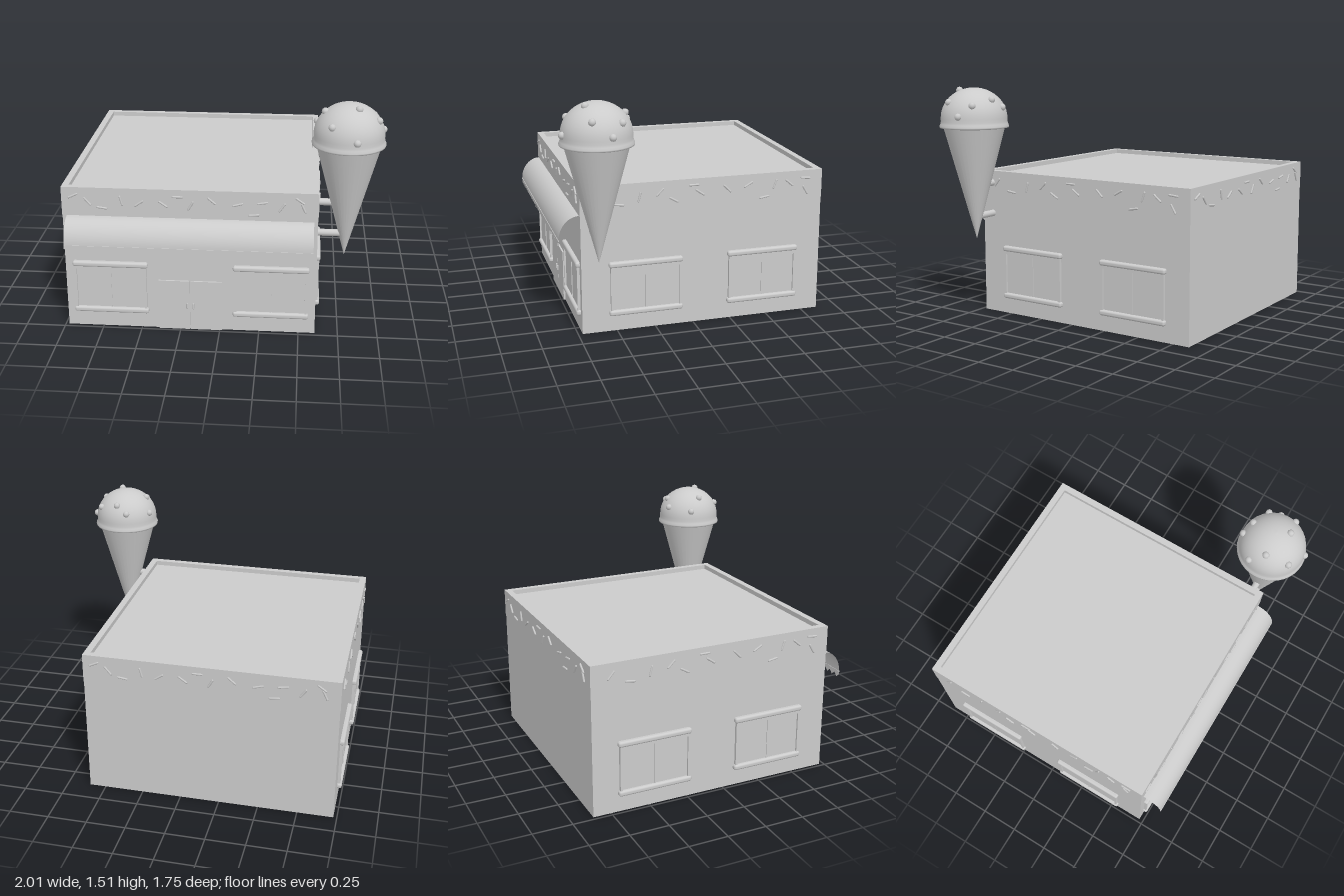
import * as THREE from 'three';
import { RoundedBoxGeometry } from 'three/addons/geometries/RoundedBoxGeometry.js';

const mat = new THREE.MeshStandardMaterial({ color: 0xcccccc });
const sheetMat = new THREE.MeshStandardMaterial({ color: 0xcccccc, side: THREE.DoubleSide });

// Outer limits of the building
const X0 = -0.98, X1 = 0.606, Z0 = -0.865, Z1 = 0.724, BAND = 0.77, ROOF = 0.925, TOP = 0.955;
const CX = (X0 + X1) / 2, CZ = (Z0 + Z1) / 2, W = X1 - X0, D = Z1 - Z0;

function add(parent, name, geometry, x = 0, y = 0, z = 0, material = mat) {
  const mesh = new THREE.Mesh(geometry, material);
  mesh.name = name;
  mesh.position.set(x, y, z);
  parent.add(mesh);
  return mesh;
}
const box = (w, h, d) => new THREE.BoxGeometry(w, h, d);

// Wall-local frame: x runs along the wall, z points outward
function wallFrame(parent, name, x, z, turn) {
  const g = new THREE.Group();
  g.name = name;
  g.position.set(x, 0, z);
  g.rotation.y = turn;
  parent.add(g);
  return g;
}

// Two-pane window with rounded sills
function addWindow(wall, x) {
  const g = new THREE.Group();
  g.name = 'window';
  g.position.x = x;
  wall.add(g);
  for (const s of [-1, 1]) {
    add(g, 'windowPane', box(0.212, 0.29, 0.006), s * 0.109, 0.28, 0.001);
    add(g, 'windowPost', box(0.014, 0.3, 0.026), s * 0.222, 0.28, 0.003);
  }
  add(g, 'windowMullion', box(0.008, 0.3, 0.014), 0, 0.28, 0.002);
  add(g, 'windowHead', box(0.458, 0.02, 0.03), 0, 0.417, 0.003);
  add(g, 'upperSill', new RoundedBoxGeometry(0.478, 0.036, 0.046, 3, 0.014), 0, 0.442, 0.002);
  add(g, 'lowerSill', new RoundedBoxGeometry(0.478, 0.036, 0.046, 3, 0.014), 0, 0.123, 0.002);
}

// Sprinkles: position along the wall, height, tilt in degrees
const longSprinkles = [
  [-0.72, 0.9, 25], [-0.63, 0.865, -50], [-0.54, 0.825, -8], [-0.42, 0.875, -75], [-0.31, 0.86, 35],
  [-0.16, 0.86, -35], [-0.07, 0.91, 0], [0.01, 0.855, 60], [0.14, 0.89, -40], [0.3, 0.87, 15],
  [0.4, 0.805, 5], [0.45, 0.885, 10], [0.57, 0.86, 55], [0.68, 0.905, -35], [0.7, 0.86, -65]];
const sideSprinkles = [
  [-0.67, 0.88, 50], [-0.55, 0.825, -8], [-0.42, 0.865, 75], [-0.29, 0.885, 45], [-0.2, 0.83, -30],
  [-0.07, 0.915, 0], [-0.03, 0.865, -35], [0.15, 0.875, -45], [0.29, 0.89, 30], [0.4, 0.8, 10],
  [0.47, 0.88, 70], [0.57, 0.88, -40], [0.68, 0.905, -5], [0.68, 0.825, -60]];
function addSprinkles(wall, list) {
  const geometry = new THREE.CapsuleGeometry(0.007, 0.056, 2, 6);
  for (const [x, y, tilt] of list) {
    const s = add(wall, 'sprinkle', geometry, x, y, 0.004);
    s.rotation.z = THREE.MathUtils.degToRad(tilt - 90);
  }
}

// Curved awning: a quarter-ellipse sheet with a zigzag valance
function addAwning(parent) {
  const width = 1.53, left = -0.95, steps = 12, teeth = 30;
  const sheet = new THREE.PlaneGeometry(width, 1, 1, steps);
  const p = sheet.attributes.position;
  for (let i = 0; i < p.count; i++) {
    const a = (0.5 - p.getY(i)) * Math.PI / 2;
    p.setXYZ(i, p.getX(i), 0.615 + 0.153 * Math.cos(a), Z1 + 0.13 * Math.sin(a));
  }
  sheet.computeVertexNormals();
  add(parent, 'awning', sheet, left + width / 2, 0, 0, sheetMat);
  add(parent, 'awningHem', box(width, 0.008, 0.006), left + width / 2, 0.617, 0.854);

  const edge = new THREE.Shape();
  edge.moveTo(0, 0.615);
  edge.lineTo(0, 0.597);
  for (let i = 0; i < teeth; i++) {
    edge.lineTo((i + 0.5) * width / teeth, 0.575);
    edge.lineTo((i + 1) * width / teeth, 0.597);
  }
  edge.lineTo(width, 0.615);
  add(parent, 'awningValance', new THREE.ShapeGeometry(edge), left, 0, 0.854, sheetMat);
}

// Cone sign with a dotted scoop, held out by two arms
function addConeSign(parent) {
  const g = new THREE.Group();
  g.name = 'coneSign';
  g.position.set(0.771, 0, 0.645);
  parent.add(g);
  const cone = add(g, 'cone', new THREE.ConeGeometry(0.197, 0.732, 32), 0, 0.889, 0);
  cone.rotation.x = Math.PI;

  // Flared lip, then the dome
  const R = 0.213, H = 0.195, Y = 1.315;
  const profile = [[0, 1.252], [0.205, 1.252], [0.221, 1.255], [0.223, 1.265], [0.216, 1.28], [0.213, 1.295], [R, Y]]
    .map(([r, y]) => new THREE.Vector2(r, y));
  for (let i = 1; i <= 12; i++) {
    const a = i / 12 * Math.PI / 2;
    profile.push(new THREE.Vector2(Math.max(0, R * Math.cos(a)), Y + H * Math.sin(a)));
  }
  add(g, 'scoop', new THREE.LatheGeometry(profile, 36));

  const dot = new THREE.IcosahedronGeometry(0.023, 1);
  const dots = [[-0.055, -0.19], [0.019, -0.165], [0.149, -0.118], [-0.146, 0.01], [0.049, 0.075],
    [0.169, 0.06], [-0.107, 0.157], [0.039, 0.209], [0.206, -0.05], [-0.19, -0.075]];
  for (const [x, z] of dots) {
    const y = Y + H * Math.sqrt(Math.max(0, 1 - (x * x + z * z) / (R * R)));
    add(g, 'scoopDot', dot, x, y, z);
  }
  for (const y of [0.875, 0.67]) {
    const arm = add(g, 'signArm', new THREE.CylinderGeometry(0.022, 0.022, 0.18, 12), -0.086, y, 0);
    arm.rotation.z = Math.PI / 2;
  }
}

export function createModel() {
  const model = new THREE.Group();
  model.name = 'iceCreamShop';

  // Walls, closed by a flat roof just below the rim
  add(model, 'building', box(W - 0.004, ROOF, D - 0.004), CX, ROOF / 2, CZ);

  // Band around the top of the walls, with a low rim above the roof
  const ring = new THREE.Shape();
  const hole = new THREE.Path();
  const rect = (path, w, d) => path.moveTo(-w, -d).lineTo(w, -d).lineTo(w, d).lineTo(-w, d).closePath();
  rect(ring, W / 2, D / 2);
  rect(hole, W / 2 - 0.042, D / 2 - 0.042);
  ring.holes.push(hole);
  const band = add(model, 'roofBand',
    new THREE.ExtrudeGeometry(ring, { depth: TOP - BAND, bevelEnabled: false }), CX, BAND, CZ);
  band.rotation.x = -Math.PI / 2;

  const front = wallFrame(model, 'frontWallDetails', CX, Z1, 0);
  const back = wallFrame(model, 'backWallDetails', CX, Z0, Math.PI);
  const leftSide = wallFrame(model, 'leftWallDetails', X1, CZ, Math.PI / 2);
  const rightSide = wallFrame(model, 'rightWallDetails', X0, CZ, -Math.PI / 2);
  addSprinkles(front, longSprinkles);
  addSprinkles(back, longSprinkles);
  addSprinkles(leftSide, sideSprinkles);
  addSprinkles(rightSide, sideSprinkles);

  // Windows
  for (const x of [-0.692, 0.322]) addWindow(front, x - CX);
  for (const z of [0.311, -0.465]) {
    addWindow(leftSide, CZ - z);
    addWindow(rightSide, z - CZ);
  }

  // Double door with handles
  for (const s of [-1, 1]) {
    add(front, 'door', box(0.199, 0.34, 0.016), s * 0.102, 0.17, 0.001);
    add(front, 'doorHandle', new THREE.CapsuleGeometry(0.006, 0.03, 2, 8), s * 0.02, 0.168, 0.014);
  }

  addAwning(model);
  addConeSign(model);
  return model;
}
